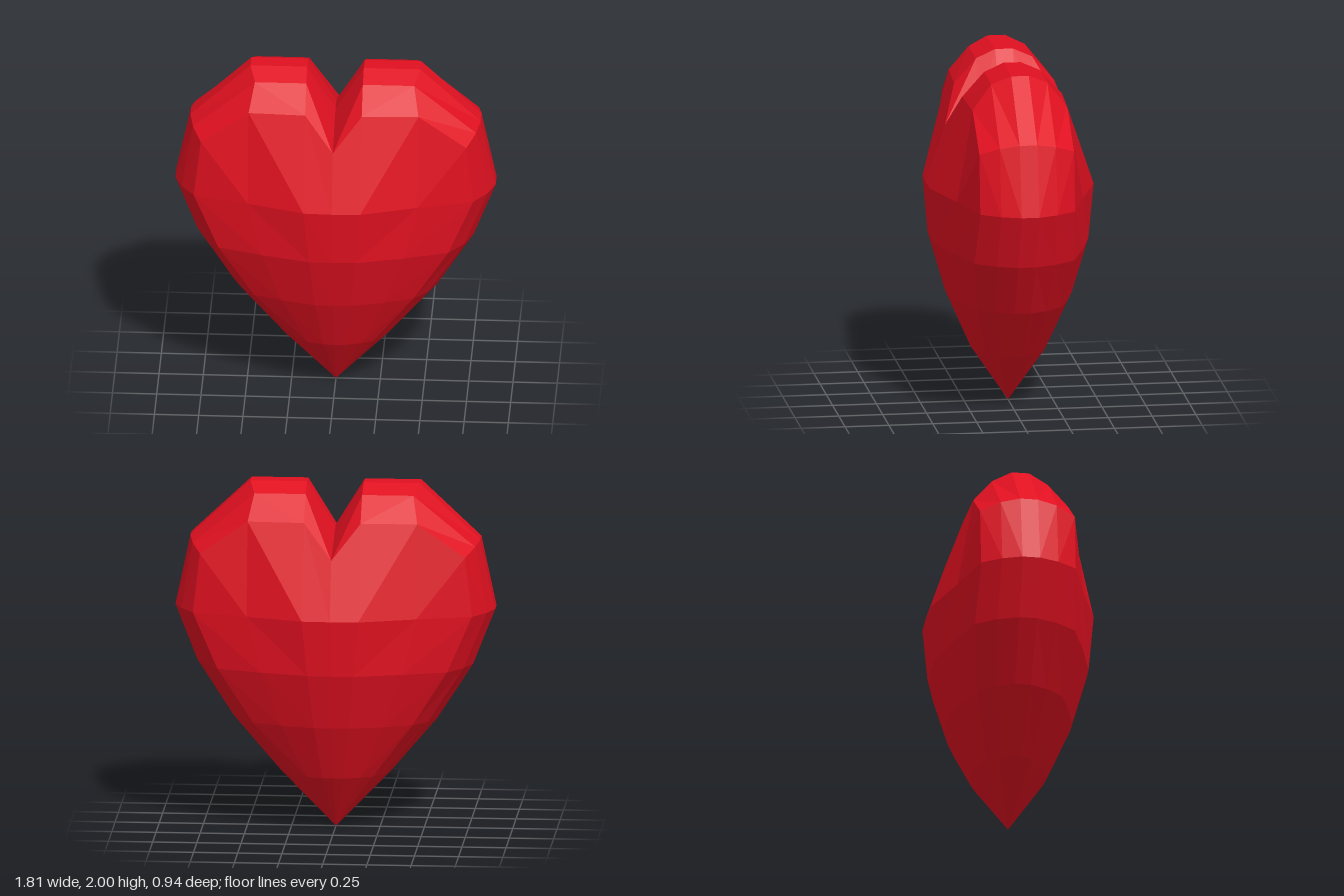
import * as THREE from 'three';

// One quarter (x >= 0, z >= 0) of the heart; every row runs from the front centre to the side.
const ring = (y, pts) => [...pts.map(([x, z]) => [x, y, z]), [pts[5][0], y, 0]];
const rings = [
  ring(0, Array(6).fill([0, 0])),
  ring(0.32, [[0, 0.215], [0.06, 0.21], [0.15, 0.185], [0.22, 0.15], [0.275, 0.09], [0.305, 0.03]]),
  ring(0.64, [[0, 0.355], [0.1, 0.35], [0.29, 0.3], [0.45, 0.24], [0.53, 0.145], [0.575, 0.045]]),
  ring(0.96, [[0, 0.445], [0.13, 0.44], [0.4, 0.37], [0.65, 0.285], [0.735, 0.17], [0.78, 0.05]]),
  ring(1.28, [[0, 0.47], [0.16, 0.465], [0.48, 0.36], [0.79, 0.27], [0.865, 0.16], [0.905, 0.05]]),
];

// Rim stations from the notch over the lobe to the widest ring, each running front to middle.
const station = (...pts) => [...pts, [pts[2][0], pts[2][1], 0]];
const rim = [
  station([0, 1.61, 0.36], [0, 1.69, 0.17], [0, 1.74, 0.05]),
  station([0.16, 1.81, 0.285], [0.16, 1.95, 0.16], [0.16, 2, 0.05]),
  station([0.48, 1.81, 0.27], [0.45, 1.95, 0.16], [0.48, 2, 0.05]),
  station([0.75, 1.62, 0.27], [0.8, 1.66, 0.16], [0.82, 1.68, 0.05]),
  rings[4].slice(3),
];

function heartGeometry() {
  const positions = [];
  // Adds a triangle and its mirror images, reversing the corners where the mirroring flips it.
  const triangle = (a, b, c) => {
    const [p, q, r] = [a, b, c].map((v) => new THREE.Vector3(...v));
    if (q.sub(p).cross(r.sub(p)).length() < 1e-7) return;
    for (const sx of [1, -1]) {
      for (const sz of [1, -1]) {
        const corners = sx * sz > 0 ? [a, b, c] : [a, c, b];
        for (const [x, y, z] of corners) positions.push(x * sx, y, z * sz);
      }
    }
  };
  // Joins two neighbouring rows with quads.
  const strip = (lower, upper) => {
    for (let i = 0; i < lower.length - 1; i++) {
      triangle(lower[i], lower[i + 1], upper[i + 1]);
      triangle(lower[i], upper[i + 1], upper[i]);
    }
  };

  // Tapering lower body
  for (let r = 0; r < rings.length - 1; r++) strip(rings[r], rings[r + 1]);
  // Upper front and back panels
  strip(rings[4].slice(0, 4), rim.slice(0, 4).map((s) => s[0]));
  // Rounded rim and notch
  for (let j = 0; j < 3; j++) strip(rim.map((s) => s[j]), rim.map((s) => s[j + 1]));

  const geometry = new THREE.BufferGeometry();
  geometry.setAttribute('position', new THREE.Float32BufferAttribute(positions, 3));
  geometry.computeVertexNormals();
  return geometry;
}

export function createModel() {
  const group = new THREE.Group();
  group.name = 'heart';
  const material = new THREE.MeshStandardMaterial({ color: 0xe01020, flatShading: true });
  const body = new THREE.Mesh(heartGeometry(), material);
  body.name = 'heartBody';
  group.add(body);
  return group;
}
